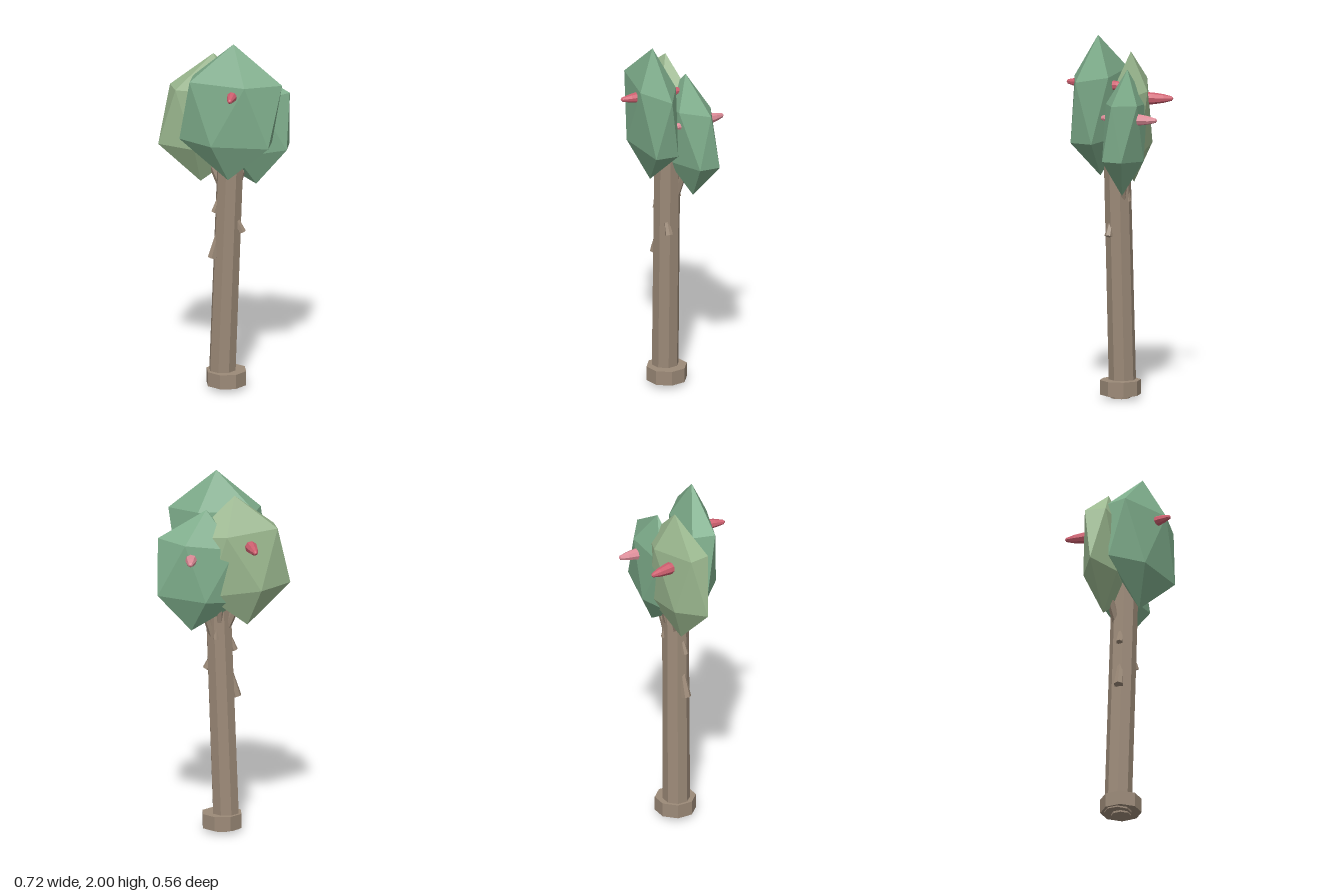
import * as THREE from 'three';
import { ConvexGeometry } from 'three/addons/geometries/ConvexGeometry.js';

const V = (x, y, z) => new THREE.Vector3(x, y, z);
const paint = (color) => new THREE.MeshStandardMaterial({ color, flatShading: true });

const bark = paint(0x9c8a78);
const green = paint(0x7fae8c);
const lightGreen = paint(0x9cb990);
const red = paint(0xcf6070);
const pink = paint(0xdd8c98);

function add(group, name, geometry, material) {
  const mesh = new THREE.Mesh(geometry, material);
  mesh.name = name;
  group.add(mesh);
  return mesh;
}

// Stands a mesh modelled along y between two points
function aim(mesh, from, to) {
  mesh.position.copy(from).lerp(to, 0.5);
  mesh.quaternion.setFromUnitVectors(V(0, 1, 0), to.clone().sub(from).normalize());
  return mesh;
}

// Tapered round bar between two points
function bar(group, name, from, to, rFrom, rTo, sides) {
  const geometry = new THREE.CylinderGeometry(rTo, rFrom, from.distanceTo(to), sides);
  geometry.rotateY(Math.PI / sides);
  return aim(add(group, name, geometry, bark), from, to);
}

// Squashed icosahedron: a tip, a ring of five, and their opposites through the centre
function crown(group, name, center, tip, a, b, material) {
  const axis = tip.clone().sub(center);
  const offsets = [axis];
  for (let k = 0; k < 5; k++) {
    const t = (k * Math.PI * 2) / 5;
    offsets.push(axis.clone().multiplyScalar(0.447)
      .addScaledVector(a, Math.cos(t)).addScaledVector(b, Math.sin(t)));
  }
  const points = offsets.flatMap((o) => [center.clone().add(o), center.clone().sub(o)]);
  add(group, name, new ConvexGeometry(points), material);
}

// Spindle-shaped fruit pushed through a crown
function fruit(group, name, from, to, material) {
  const half = from.distanceTo(to) / 2;
  const side = [[0, 1], [0.012, 0.95], [0.024, 0.68], [0.033, 0.3]];
  const profile = [
    ...side.map(([r, h]) => new THREE.Vector2(r, -h * half)),
    ...side.slice().reverse().map(([r, h]) => new THREE.Vector2(r, h * half)),
  ];
  aim(add(group, name, new THREE.LatheGeometry(profile, 8), material), from, to);
}

export function createModel() {
  const model = new THREE.Group();
  model.name = 'tree';

  // Trunk and foot
  bar(model, 'trunk', V(-0.012, 0.01, -0.035), V(0.037, 1.42, -0.014), 0.075, 0.073, 8);
  bar(model, 'footRing', V(0.012, 0.02, -0.028), V(0.012, 0.1, -0.028), 0.113, 0.113, 8);
  bar(model, 'footCap', V(0.012, 0, -0.028), V(0.012, 0.03, -0.028), 0.055, 0.055, 8);

  // Cut branch stubs hanging from the trunk
  const stubs = [
    [V(-0.035, 0.88, -0.01), V(-0.068, 0.75, -0.005), 0.027],
    [V(-0.025, 1.1, -0.01), V(-0.056, 1.01, -0.005), 0.019],
    [V(0.055, 0.99, 0.01), V(0.095, 0.9, 0.018), 0.022],
    [V(0.04, 1.22, -0.06), V(0.045, 1.09, -0.082), 0.016],
  ];
  stubs.forEach(([from, to, r]) => bar(model, 'branchStub', from, to, r * 0.6, r, 6));

  // Branches rising into the crowns
  const branches = [
    [V(-0.01, 1.14, -0.04), V(-0.1, 1.36, -0.07)],
    [V(0.06, 1.1, -0.05), V(0.14, 1.36, -0.085)],
    [V(0.03, 1.12, -0.05), V(0.02, 1.4, -0.12)],
  ];
  branches.forEach(([from, to]) => bar(model, 'branch', from, to, 0.022, 0.02, 6));

  // Three leafy crowns
  crown(model, 'frontCrown', V(0.025, 1.61, 0.087), V(0.04, 2, 0.09),
    V(0.268, -0.01, 0.063), V(-0.028, 0, 0.106), green);
  crown(model, 'rightCrown', V(-0.09, 1.535, -0.07), V(-0.055, 1.9, -0.07),
    V(0.254, -0.028, -0.033), V(0.016, 0, 0.099), lightGreen);
  crown(model, 'leftCrown', V(0.14, 1.483, -0.085), V(0.1, 1.825, -0.09),
    V(0.24, 0.025, 0.021), V(-0.021, 0, 0.097), green);

  // Fruits
  fruit(model, 'frontFruit', V(0.09, 1.73, -0.085), V(0, 1.73, 0.277), red);
  fruit(model, 'rightFruit', V(-0.105, 1.63, 0.05), V(-0.167, 1.63, -0.28), red);
  fruit(model, 'leftFruit', V(0.17, 1.565, 0.045), V(0.19, 1.565, -0.28), pink);

  return model;
}
